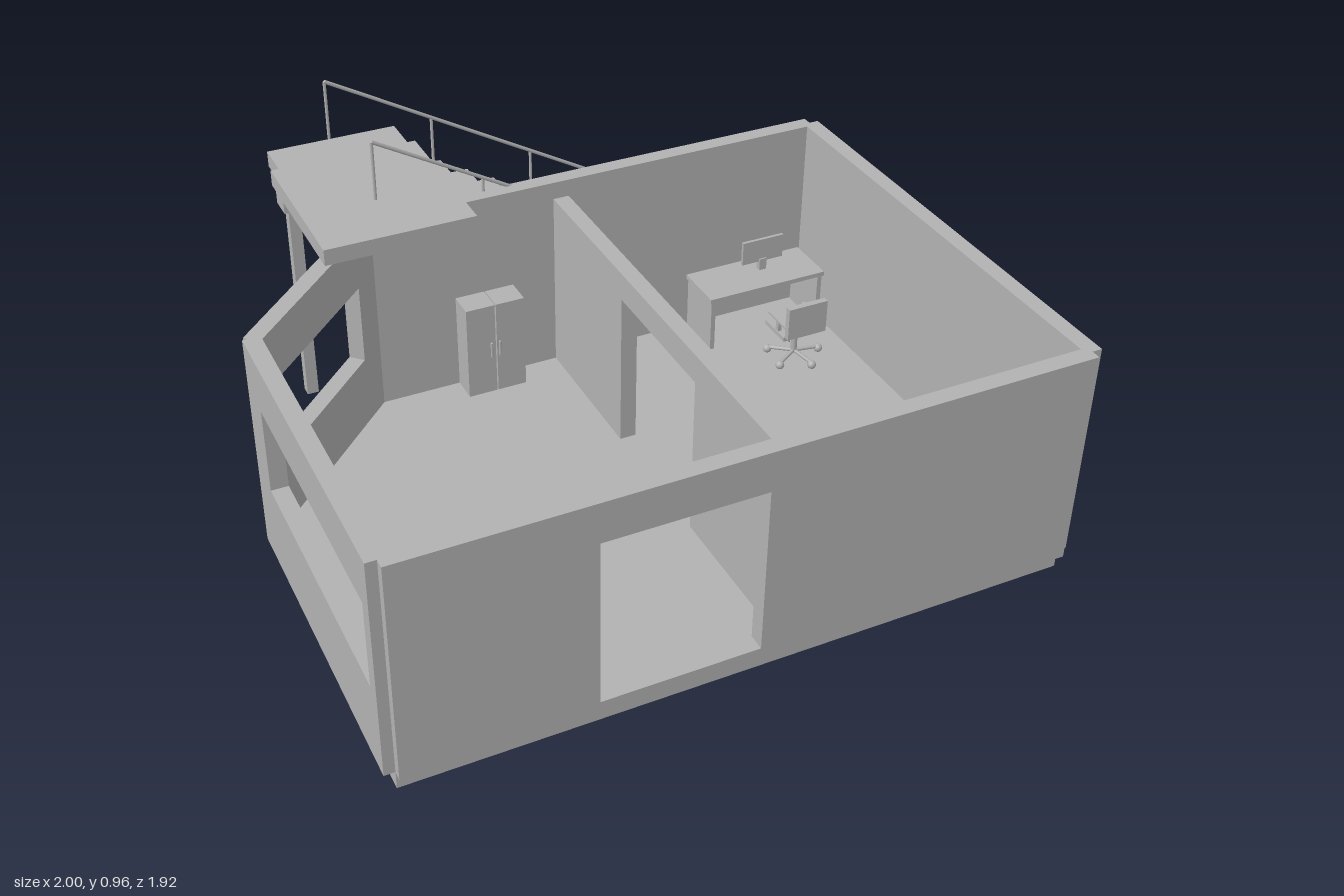
import * as THREE from 'three';

export function createModel() {
  const model = new THREE.Group();
  model.name = 'roomWithOutdoorStairs';
  const grey = new THREE.MeshStandardMaterial({ color: 0xb2b2b2 });
  grey.name = 'plainGrey';

  const add = (name, geo, parent = model) => {
    const m = new THREE.Mesh(geo, grey);
    m.name = name;
    parent.add(m);
    return m;
  };
  const group = (name) => {
    const g = new THREE.Group();
    g.name = name;
    model.add(g);
    return g;
  };
  // box from its limits on each axis
  const box = (name, x0, x1, y0, y1, z0, z1, parent) => {
    const m = add(name, new THREE.BoxGeometry(x1 - x0, y1 - y0, z1 - z0), parent);
    m.position.set((x0 + x1) / 2, (y0 + y1) / 2, (z0 + z1) / 2);
    return m;
  };
  // round bar between two points
  const bar = (name, a, b, r, parent) => {
    const p = new THREE.Vector3(...a), d = new THREE.Vector3(...b).sub(p);
    const m = add(name, new THREE.CylinderGeometry(r, r, d.length(), 8), parent);
    m.position.copy(p).addScaledVector(d, 0.5);
    m.quaternion.setFromUnitVectors(new THREE.Vector3(0, 1, 0), d.normalize());
    return m;
  };
  const polygon = (pts) => new THREE.Shape(pts.map((p) => new THREE.Vector2(...p)));
  // upright wall from a to b, with an optional opening [u0, u1, y0, y1]
  const wall = (name, [ax, az], [bx, bz], y0, y1, hole) => {
    const len = Math.hypot(bx - ax, bz - az);
    const s = polygon([[0, y0], [len, y0], [len, y1], [0, y1]]);
    if (hole) {
      const [u0, u1, v0, v1] = hole;
      s.holes.push(polygon([[u0, v0], [u0, v1], [u1, v1], [u1, v0]]));
    }
    const m = add(name, new THREE.ExtrudeGeometry(s, { depth: 0.05, bevelEnabled: false }));
    m.position.set(ax, 0, az);
    m.rotation.y = Math.atan2(az - bz, bx - ax);
  };

  // floor slab with the cut corner
  const slab = polygon([[-0.97, -0.93], [0.97, -0.93], [0.97, 0.5], [-0.52, 0.5], [-0.97, 0.05]]);
  add('floorSlab', new THREE.ExtrudeGeometry(slab, { depth: 0.09, bevelEnabled: false })).rotation.x = -Math.PI / 2;

  // walls
  wall('frontWall', [-0.97, 0.908], [0.97, 0.908], 0.055, 0.72, [0.53, 0.985, 0.09, 0.6]);
  wall('windowWall', [-0.95, -0.045], [-0.95, 0.93], 0.055, 0.72, [0.12, 0.93, 0.31, 0.57]);
  wall('sideWall', [1, -0.5], [1, 0.93], 0.055, 0.72);
  wall('backWall', [-0.52, -0.53], [0.97, -0.53], 0.055, 0.72);
  wall('cornerWall', [-0.995, -0.055], [-0.52, -0.53], 0.055, 0.72, [0.06, 0.55, 0.31, 0.56]);
  wall('partition', [0.125, -0.48], [0.125, 0.908], 0.05, 0.665, [0.475, 0.925, 0.09, 0.58]);

  // stairs as one stepped solid
  const run = 0.089, rise = 0.0515, startX = 0.865;
  const steps = [[-0.46, 0], [startX, 0]];
  for (let i = 0; i < 13; i++) {
    steps.push([startX - run * i, rise * (i + 1)]);
    if (i < 12) steps.push([startX - run * (i + 1), rise * (i + 1)]);
  }
  steps.push([-0.46, rise * 13]);
  const stairs = add('stairs', new THREE.ExtrudeGeometry(polygon(steps), { depth: 0.405, bevelEnabled: false }));
  stairs.position.z = -0.94;

  // landing, its beam and its post
  const deck = polygon([[-0.69, 0.31], [-0.235, 0.31], [-0.235, 0.82], [-0.26, 0.82],
    [-0.26, 0.94], [-0.665, 0.94], [-0.665, 0.82], [-0.69, 0.82]]);
  const landing = add('landing', new THREE.ExtrudeGeometry(deck, { depth: 0.05, bevelEnabled: false }));
  landing.rotation.x = -Math.PI / 2;
  landing.position.y = 0.72;
  box('landingBeam', -0.685, -0.25, 0.67, 0.72, -0.8, -0.725);
  box('landingPost', -0.668, -0.632, 0, 0.67, -0.78, -0.744);

  // handrails
  for (const z of [-0.955, -0.523]) {
    const rail = group('handrail');
    const railY = (x) => 0.955 - 0.57 * (x + 0.465);
    bar('topRail', [-0.465, railY(-0.465), z], [0.865, railY(0.865), z], 0.006, rail);
    for (let i = 0; i < 5; i++) {
      const x = -0.465 + i * 0.3325;
      bar('railPost', [x, railY(x) - 0.19, z], [x, railY(x), z], 0.005, rail);
    }
  }

  // two-door cabinet on the back wall
  const cabinet = group('cabinet');
  for (const x of [-0.252, -0.156]) {
    box('cabinetHalf', x, x + 0.092, 0.09, 0.4, -0.48, -0.395, cabinet);
  }
  for (const x of [-0.175, -0.148]) bar('cabinetHandle', [x, 0.22, -0.39], [x, 0.27, -0.39], 0.004, cabinet);

  // bed with side rails, pillow and reading arm
  const bed = group('bed');
  box('bedFrame', -0.705, -0.49, 0.145, 0.16, 0.47, 0.9, bed);
  box('mattress', -0.695, -0.5, 0.16, 0.18, 0.485, 0.885, bed);
  box('pillow', -0.675, -0.515, 0.18, 0.2, 0.785, 0.875, bed);
  box('headboard', -0.705, -0.49, 0.14, 0.28, 0.89, 0.905, bed);
  box('footboard', -0.705, -0.49, 0.14, 0.19, 0.468, 0.48, bed);
  for (const x of [-0.675, -0.525]) {
    bar('bedRail', [x, 0.235, 0.53], [x, 0.235, 0.73], 0.005, bed);
    for (const z of [0.535, 0.725]) bar('bedRailPost', [x, 0.17, z], [x, 0.235, z], 0.005, bed);
  }
  for (const x of [-0.68, -0.515]) {
    for (const z of [0.52, 0.85]) {
      bar('bedLeg', [x, 0.1, z], [x, 0.15, z], 0.008, bed);
      bar('bedWheel', [x - 0.008, 0.1, z], [x + 0.008, 0.1, z], 0.011, bed);
    }
  }
  bar('armRod', [-0.78, 0.25, 0.825], [-0.68, 0.25, 0.825], 0.006, bed);
  bar('armPost', [-0.73, 0.09, 0.825], [-0.73, 0.25, 0.825], 0.006, bed);

  // desk and monitor
  const desk = group('desk');
  box('deskTop', 0.535, 0.945, 0.265, 0.28, -0.48, -0.31, desk);
  for (const x of [0.54, 0.925]) box('deskSide', x, x + 0.015, 0.09, 0.265, -0.475, -0.315, desk);
  box('monitor', 0.7, 0.845, 0.31, 0.39, -0.42, -0.41, desk);
  box('monitorStand', 0.76, 0.785, 0.28, 0.32, -0.425, -0.405, desk);

  // office chair
  const chair = group('chair');
  box('seat', 0.695, 0.83, 0.19, 0.205, -0.24, -0.125, chair);
  box('backrest', 0.695, 0.83, 0.21, 0.32, -0.12, -0.1, chair);
  for (const x of [0.697, 0.817]) {
    box('armrest', x, x + 0.012, 0.235, 0.243, -0.23, -0.11, chair);
    box('armrestPost', x, x + 0.012, 0.2, 0.235, -0.18, -0.165, chair);
  }
  bar('chairColumn', [0.762, 0.115, -0.17], [0.762, 0.19, -0.17], 0.01, chair);
  for (let i = 0; i < 5; i++) {
    const a = (i / 5) * Math.PI * 2 + 0.1;
    const x = 0.762 + 0.085 * Math.cos(a), z = -0.17 + 0.085 * Math.sin(a);
    bar('chairFoot', [0.762, 0.115, -0.17], [x, 0.11, z], 0.006, chair);
    add('caster', new THREE.SphereGeometry(0.014, 10, 8), chair).position.set(x, 0.104, z);
  }

  // open shelf against the front wall
  const shelf = group('shelf');
  for (let i = 0; i < 5; i++) {
    const y = 0.09 + i * 0.098;
    box('shelfBoard', 0.455, 0.85, y, y + 0.012, 0.775, 0.908, shelf);
    if (i === 4) continue;
    for (let k = 0; k < 3; k++) {
      const x = 0.475 + k * 0.13 + (i % 2) * 0.015;
      box('storageBox', x, x + 0.08, y + 0.012, y + 0.062, 0.79, 0.89, shelf);
    }
  }
  for (const x of [0.455, 0.838]) box('shelfSide', x, x + 0.012, 0.09, 0.494, 0.775, 0.908, shelf);

  return model;
}
